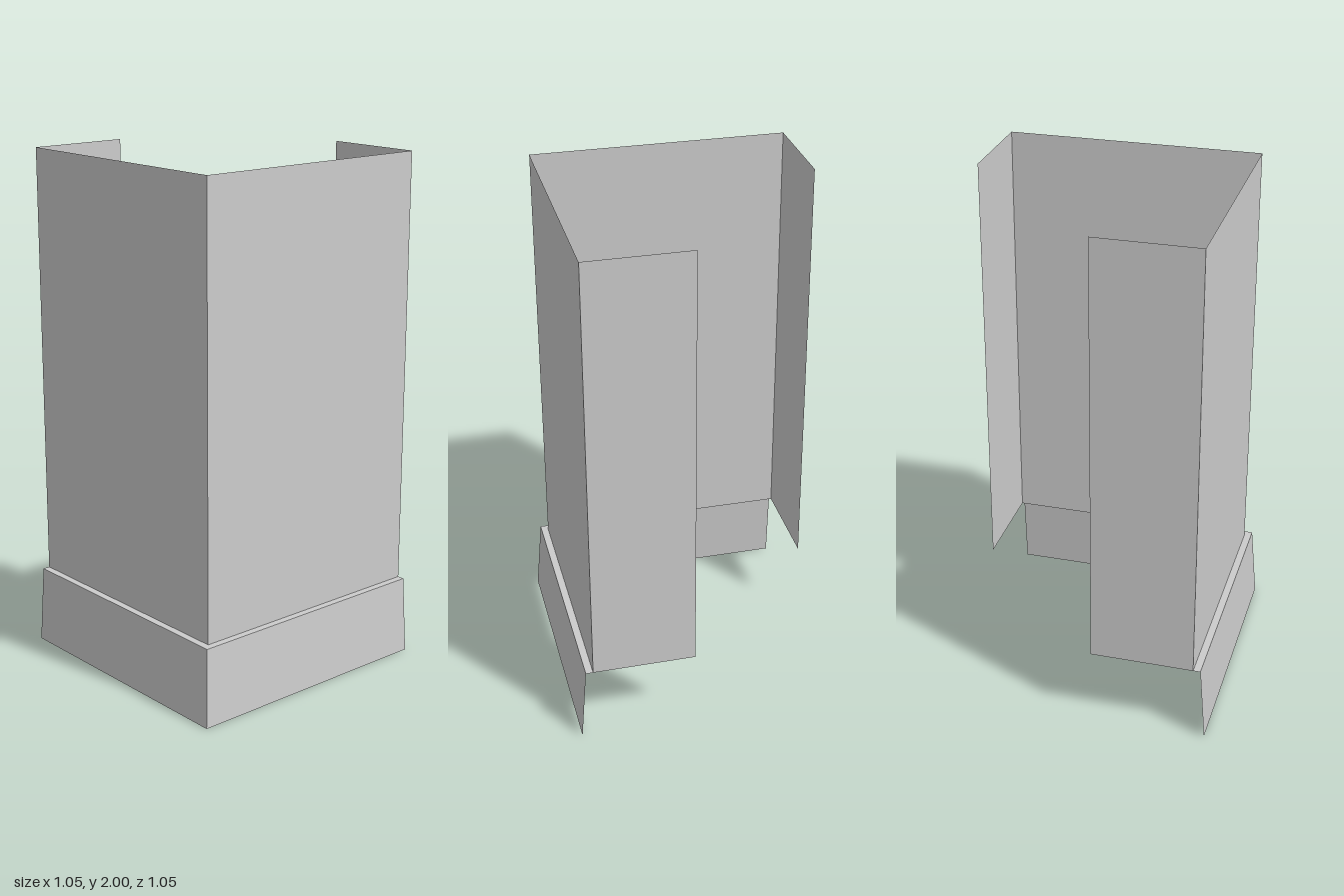
import * as THREE from 'three';

const material = new THREE.MeshStandardMaterial({ color: 0xcccccc, side: THREE.DoubleSide, flatShading: true });

const END = -0.525;    // free ends of the two faces
const WALL = 0.475;    // plane of the upright walls
const LIP = 0.503;     // outer edge of the ledge
const FOOT = 0.525;    // bottom edge of the skirting
const LEDGE_Y = 0.3, TOP_Y = 2, RETURN = 0.4;

// Thin sheet between two [x, z] paths at different heights, one flat quad per step
function sheet(name, lower, lowerY, upper, upperY) {
  const positions = [];
  for (let i = 0; i < lower.length - 1; i++) {
    const corner = ([x, z], y) => [x, y, z];
    const a = corner(lower[i], lowerY), b = corner(lower[i + 1], lowerY);
    const c = corner(upper[i + 1], upperY), d = corner(upper[i], upperY);
    positions.push(...a, ...b, ...c, ...a, ...c, ...d);
  }
  const geometry = new THREE.BufferGeometry();
  geometry.setAttribute('position', new THREE.Float32BufferAttribute(positions, 3));
  geometry.computeVertexNormals();
  const mesh = new THREE.Mesh(geometry, material);
  mesh.name = name;
  return mesh;
}

// L-shaped path around the outer corner at a given distance from the centre
const corner = (d) => [[END, d], [d, d], [d, END]];

export function createModel() {
  const group = new THREE.Group();
  group.name = 'cornerPillar';

  // Two faces with a short return folded inward at each end
  const wallPath = [[END, WALL - RETURN], ...corner(WALL), [WALL - RETURN, END]];
  group.add(sheet('walls', wallPath, LEDGE_Y, wallPath, TOP_Y));

  // Narrow ledge and the sloping skirting below it
  group.add(sheet('ledge', corner(LIP), LEDGE_Y, corner(WALL), LEDGE_Y));
  group.add(sheet('skirting', corner(FOOT), 0, corner(LIP), LEDGE_Y));

  return group;
}
